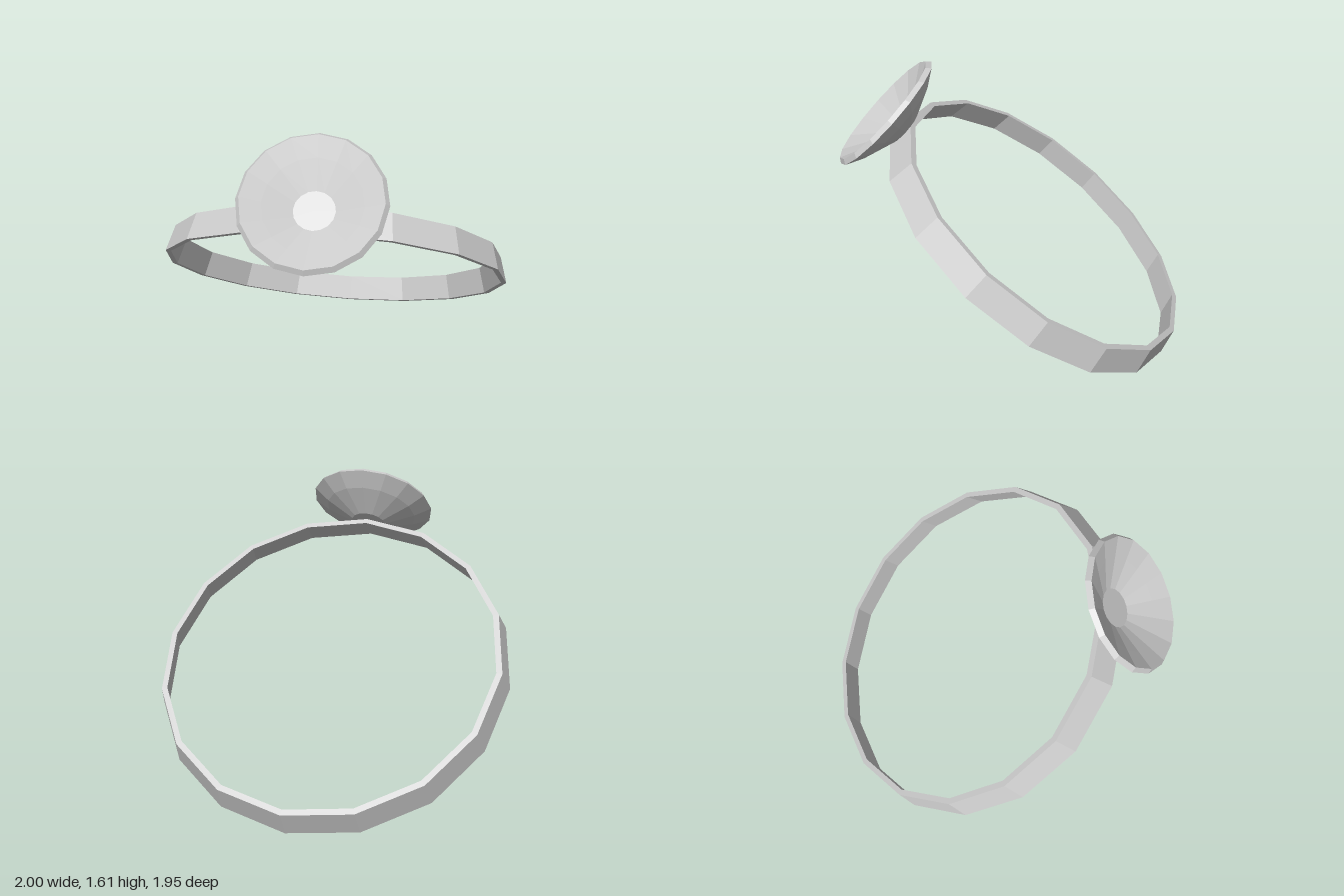
import * as THREE from 'three';

const SIDES = 16;

// Faceted solid of revolution from [radius, height] pairs, listed counterclockwise
function turned(name, profile, material) {
  const points = profile.map(([r, y]) => new THREE.Vector2(r, y));
  const mesh = new THREE.Mesh(new THREE.LatheGeometry(points, SIDES), material);
  mesh.name = name;
  return mesh;
}

export function createModel() {
  const group = new THREE.Group();
  group.name = 'headMirror';

  const metal = new THREE.MeshStandardMaterial({ color: 0xcccccc, flatShading: true });
  metal.name = 'light grey';

  // Headband: thin tapered ring, rising towards the front
  const band = turned('headband', [
    [0.97, 0], [1, 0], [0.962, 0.151], [0.93, 0.151], [0.97, 0],
  ], metal);
  band.rotation.x = THREE.MathUtils.degToRad(-36.2);
  band.position.set(0, 0.594, -0.108);
  group.add(band);

  // Round mirror: shallow dish with a bevelled rim, facing forward and up
  const mirror = turned('mirrorDish', [
    [0, -0.156], [0.105, -0.156], [0.275, -0.083], [0.37, -0.025],
    [0.35, 0], [0.25, -0.05], [0.105, -0.124], [0, -0.124],
  ], metal);
  mirror.rotation.x = Math.PI / 4;
  mirror.position.set(0, 1.364, 0.726);
  group.add(mirror);

  return group;
}
